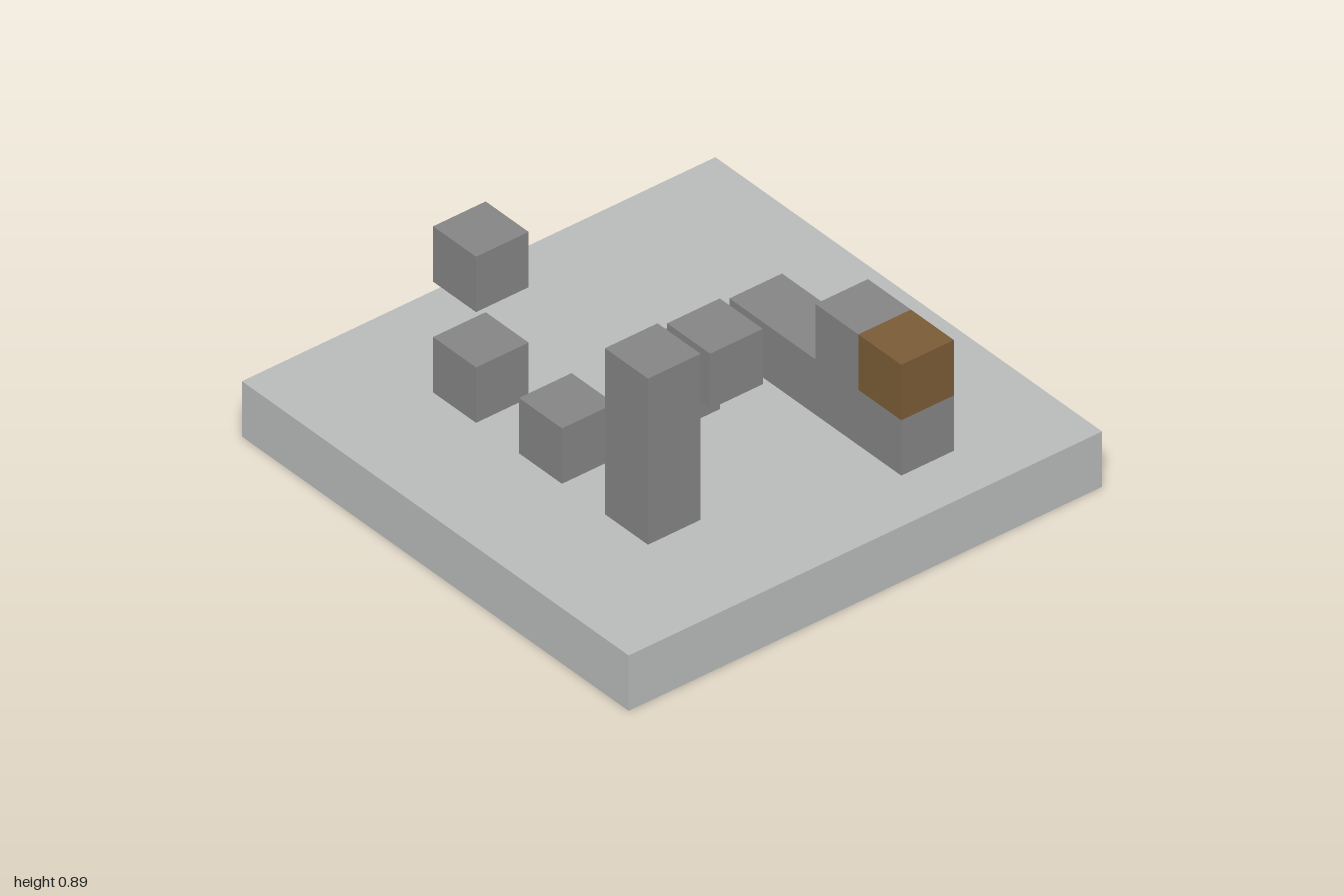
import * as THREE from 'three';

const U = 2 / 9; // one block

export function createModel() {
  const model = new THREE.Group();
  const material = (name, color) => {
    const m = new THREE.MeshStandardMaterial({ color });
    m.name = name;
    return m;
  };
  const paleGrey = material('pale grey', 0xb9bcbb);
  const stoneGrey = material('stone grey', 0x858585);
  const brown = material('earth brown', 0x7b5c37);

  // Box centred on grid cell (x, z), with its underside at the given level
  const block = (name, mat, x, level, z, w = 1, h = 1, d = 1) => {
    const mesh = new THREE.Mesh(new THREE.BoxGeometry(w * U, h * U, d * U), mat);
    mesh.position.set(x * U, (level + h / 2) * U, z * U);
    mesh.name = name;
    model.add(mesh);
  };

  // Ground slab
  block('groundSlab', paleGrey, 0, 0, 0, 9, 1, 9);

  // Front row: a block with another floating above, a single block, a pillar
  block('lowerBlock', stoneGrey, -2, 1, 2);
  block('floatingBlock', stoneGrey, -2, 3, 2);
  block('singleBlock', stoneGrey, 0, 1, 2);
  block('pillar', stoneGrey, 2, 1, 2, 1, 3, 1);

  // Middle row: two blocks touching along an edge
  block('diagonalLowerBlock', stoneGrey, 0, 1, 0);
  block('diagonalUpperBlock', stoneGrey, 1, 2, 0);

  // Back row: stepped wall with a brown block on its end
  const profile = new THREE.Shape(
    [[-0.5, 1], [3.5, 1], [3.5, 2], [2.5, 2], [2.5, 3], [1.5, 3], [1.5, 2], [-0.5, 2]]
      .map(([x, y]) => new THREE.Vector2(x * U, y * U))
  );
  const wall = new THREE.Mesh(
    new THREE.ExtrudeGeometry(profile, { depth: U, bevelEnabled: false }), stoneGrey);
  wall.position.z = -2.5 * U;
  wall.name = 'steppedWall';
  model.add(wall);
  block('brownBlock', brown, 3, 2, -2);

  return model;
}
